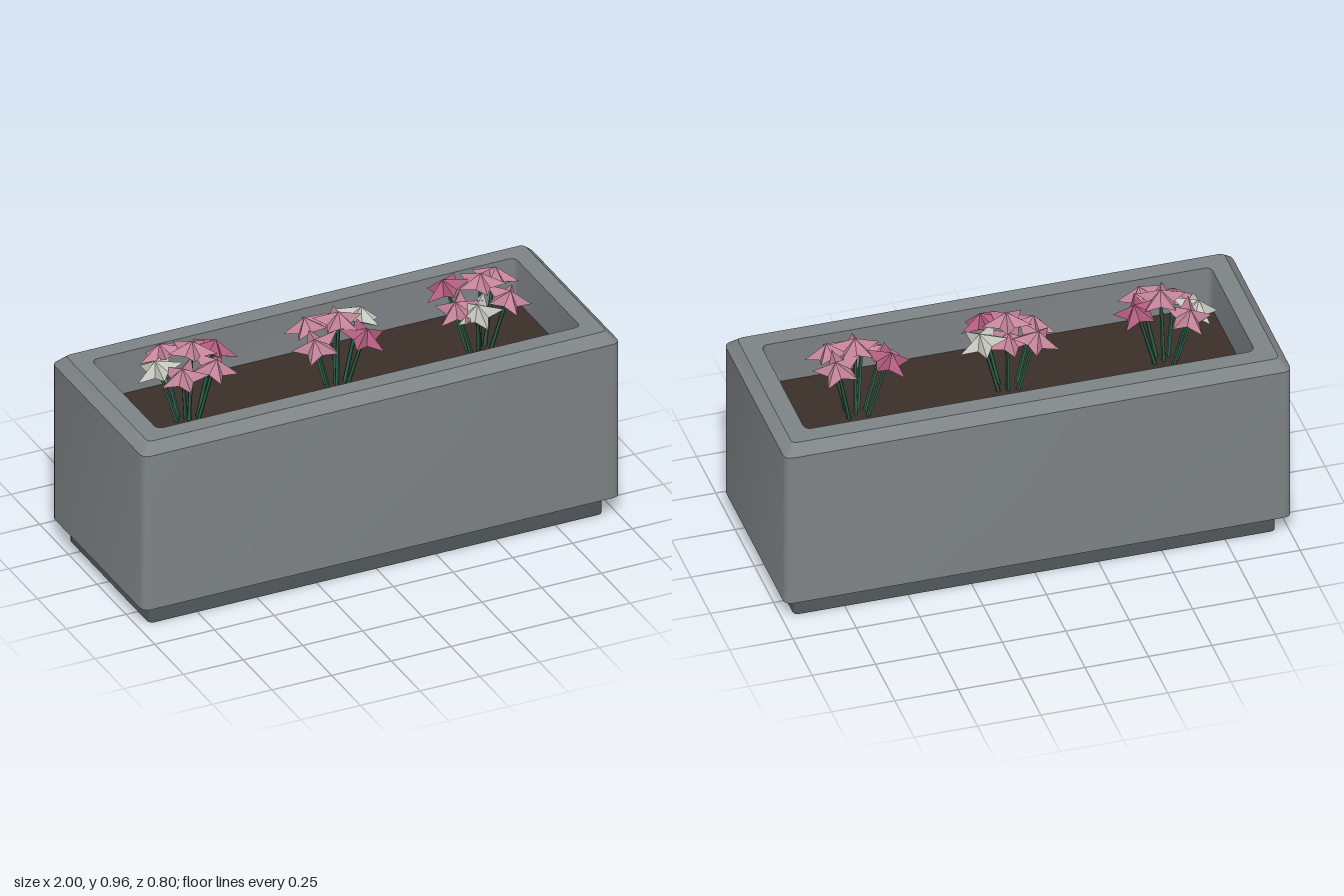
import * as THREE from 'three';
import { toCreasedNormals } from 'three/addons/utils/BufferGeometryUtils.js';

const paint = (color, extra = {}) => new THREE.MeshStandardMaterial({ color, ...extra });

// Loop of points around a rounded rectangle of half-size hx, hz at height y
function ring([hx, hz, r, y], steps = 3) {
  const points = [];
  const signs = [[1, 1], [-1, 1], [-1, -1], [1, -1]];
  signs.forEach(([sx, sz], corner) => {
    for (let i = 0; i <= steps; i++) {
      const a = (corner + i / steps) * Math.PI / 2;
      points.push([sx * (hx - r) + r * Math.cos(a), y, sz * (hz - r) + r * Math.sin(a)]);
    }
  });
  return points;
}

// Skin joining successive rounded-rectangle loops [hx, hz, radius, y]
function loft(name, sections, material) {
  const rings = sections.map((s) => ring(s));
  const positions = [];
  for (let k = 0; k < rings.length - 1; k++) {
    const a = rings[k], b = rings[k + 1];
    for (let i = 0; i < a.length; i++) {
      const j = (i + 1) % a.length;
      positions.push(...a[i], ...b[i], ...a[j], ...a[j], ...b[i], ...b[j]);
    }
  }
  const geometry = new THREE.BufferGeometry();
  geometry.setAttribute('position', new THREE.Float32BufferAttribute(positions, 3));
  geometry.computeVertexNormals();
  const mesh = new THREE.Mesh(toCreasedNormals(geometry, 0.6), material);
  mesh.name = name;
  return mesh;
}

// Five-pointed faceted blossom with a raised centre and drooping tips
function blossomGeometry() {
  const geometry = new THREE.SphereGeometry(1, 10, 2);
  const p = geometry.attributes.position;
  for (let i = 0; i < p.count; i++) {
    const x = p.getX(i), y = p.getY(i), z = p.getZ(i);
    if (Math.abs(y) > 0.5) {
      p.setXYZ(i, 0, y > 0 ? 0.035 : -0.03, 0);
    } else {
      const tip = (i % 11) % 2 === 0;
      const r = tip ? 0.1 : 0.048;
      p.setXYZ(i, x * r, tip ? -0.005 : -0.012, z * r);
    }
  }
  return geometry;
}

const SOIL = 0.62;

// Clusters: x of the centre, then blossoms as [x, y, z, colour]
const CLUSTERS = [
  [-0.62, [[-0.60, 0.92, -0.01, 'pink'], [-0.68, 0.88, -0.10, 'pink'], [-0.73, 0.86, -0.03, 'white'],
    [-0.50, 0.89, -0.03, 'rose'], [-0.67, 0.86, 0.06, 'pink'], [-0.55, 0.88, 0.08, 'pink']]],
  [0, [[0, 0.915, 0.02, 'pink'], [-0.09, 0.87, -0.06, 'pink'], [0.11, 0.88, -0.03, 'white'],
    [-0.11, 0.85, 0.06, 'pink'], [0.07, 0.87, 0.10, 'rose'], [0.01, 0.87, -0.04, 'pink']]],
  [0.6, [[0.60, 0.925, 0.01, 'pink'], [0.49, 0.89, -0.06, 'rose'], [0.69, 0.89, -0.06, 'pink'],
    [0.55, 0.85, 0.09, 'white'], [0.68, 0.87, 0.08, 'pink'], [0.49, 0.85, 0.04, 'pink']]],
];

export function createModel() {
  const group = new THREE.Group();
  const flat = { flatShading: true };
  const petals = { pink: paint(0xc4849a, flat), rose: paint(0xb05c7c, flat), white: paint(0xc4c6be, flat) };
  const green = paint(0x2c5c47, flat);

  // Recessed plinth
  group.add(loft('plinth', [
    [0.6, 0, 0, 0], [0.95, 0.35, 0.02, 0], [0.95, 0.35, 0.02, 0.09],
  ], paint(0x52585c)));

  // Tub: underside, outer wall, chamfer, rim and inner wall in one skin
  group.add(loft('tub', [
    [0.9, 0.3, 0.02, 0.09], [1, 0.4, 0.03, 0.09], [1, 0.4, 0.03, 0.76], [0.96, 0.36, 0.02, 0.8],
    [0.887, 0.287, 0.025, 0.8], [0.887, 0.287, 0.025, SOIL - 0.02],
  ], paint(0x7e8386)));

  // Soil surface
  group.add(loft('soil', [[0.887, 0.287, 0.025, SOIL], [0.6, 0, 0, SOIL]], paint(0x3a2f28)));

  // Flower clusters: stems fan out from the soil, blossoms lean outward
  const blossom = blossomGeometry();
  const up = new THREE.Vector3(0, 1, 0);
  CLUSTERS.forEach(([cx, heads], c) => {
    const cluster = new THREE.Group();
    cluster.name = `flowerCluster${c + 1}`;
    heads.forEach(([x, y, z, colour], i) => {
      const root = new THREE.Vector3(cx + (x - cx) * 0.35, SOIL - 0.01, z * 0.35);
      const head = new THREE.Vector3(x, y, z);
      const along = head.clone().sub(root);

      const stem = new THREE.Mesh(new THREE.CylinderGeometry(0.007, 0.009, along.length(), 5), green);
      stem.name = 'stem';
      stem.position.copy(root).addScaledVector(along, 0.5);
      stem.quaternion.setFromUnitVectors(up, along.clone().normalize());

      const flower = new THREE.Mesh(blossom, petals[colour]);
      flower.name = 'blossom';
      flower.position.copy(head);
      const lean = new THREE.Vector3((x - cx) * 3.5, 1, z * 3.5).normalize();
      flower.quaternion.setFromUnitVectors(up, lean);
      flower.rotateY(i * 1.3 + c * 0.7);
      cluster.add(stem, flower);
    });
    group.add(cluster);
  });
  return group;
}
